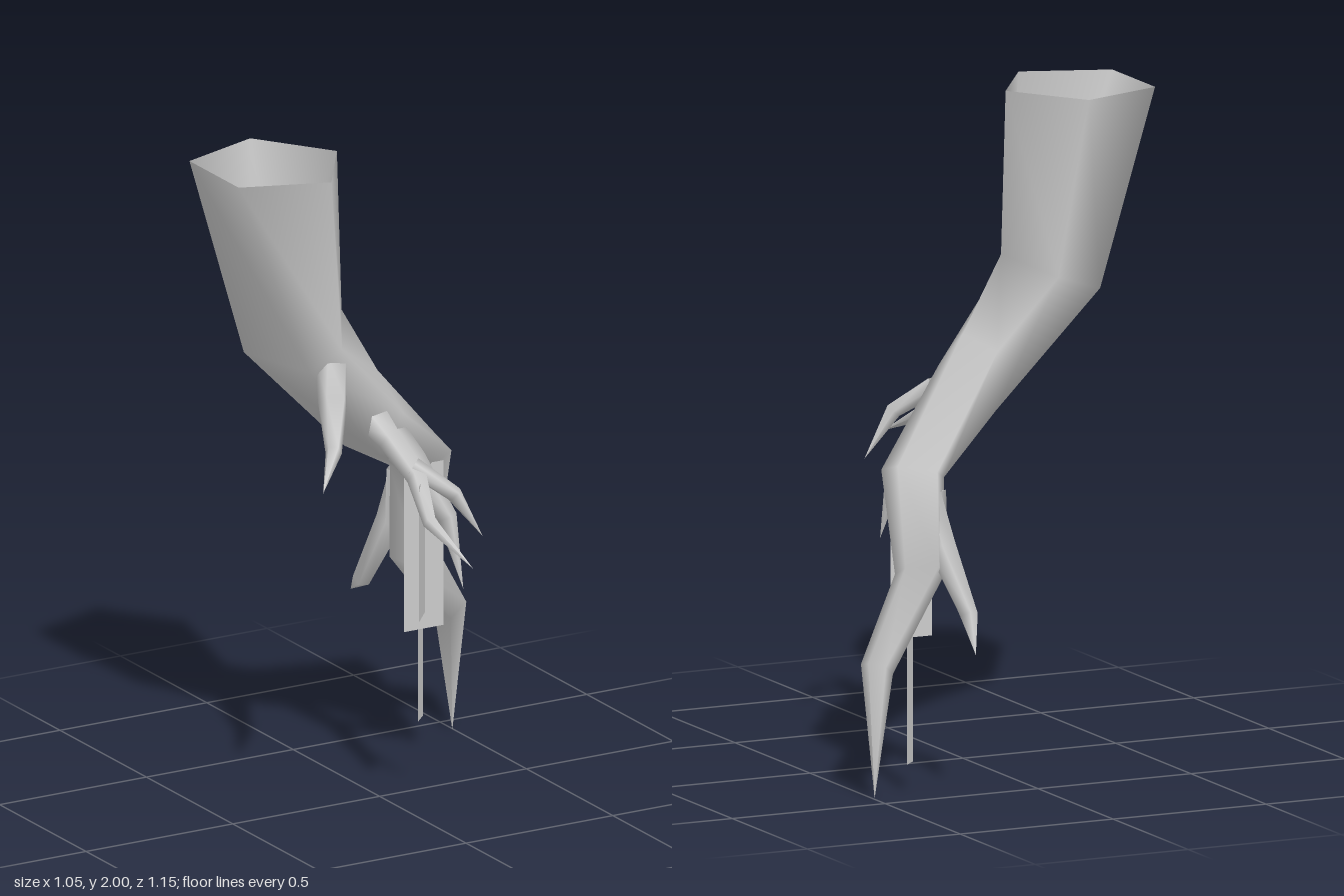
import * as THREE from 'three';

const bark = new THREE.MeshStandardMaterial({ color: 0xcccccc, side: THREE.DoubleSide });
bark.name = 'bark grey';

const SIDES = 5;

// Smooth skin over a list of five-cornered rings
function loft(name, rings) {
  const index = [];
  for (let i = 0; i < rings.length - 1; i++) {
    for (let k = 0; k < SIDES; k++) {
      const a = i * SIDES + k, b = i * SIDES + (k + 1) % SIDES;
      index.push(a, b, a + SIDES, b, b + SIDES, a + SIDES);
    }
  }
  const g = new THREE.BufferGeometry();
  g.setAttribute('position', new THREE.Float32BufferAttribute(rings.flat(2), 3));
  g.setIndex(index);
  g.computeVertexNormals();
  const mesh = new THREE.Mesh(g, bark);
  mesh.name = name;
  return mesh;
}

// Tapering root along bent points [x, y, z, radius]
function root(name, path) {
  const pts = path.map(p => new THREE.Vector3(p[0], p[1], p[2]));
  const rings = pts.map((p, i) => {
    const t = pts[Math.min(i + 1, pts.length - 1)].clone()
      .sub(pts[Math.max(i - 1, 0)]).normalize();
    const u = new THREE.Vector3(0.3, 1, 0.1).cross(t).normalize();
    const v = t.clone().cross(u);
    return Array.from({ length: SIDES }, (_, k) => {
      const a = k / SIDES * Math.PI * 2;
      return p.clone().addScaledVector(u, Math.cos(a) * path[i][3])
        .addScaledVector(v, Math.sin(a) * path[i][3]).toArray();
    });
  });
  return loft(name, rings);
}

// Flat upright strip between two plan points
function strip(name, [x0, z0], [x1, z1], bottom, top) {
  const g = new THREE.PlaneGeometry(Math.hypot(x1 - x0, z1 - z0), top - bottom);
  const mesh = new THREE.Mesh(g, bark);
  mesh.position.set((x0 + x1) / 2, (bottom + top) / 2, (z0 + z1) / 2);
  mesh.rotation.y = -Math.atan2(z1 - z0, x1 - x0);
  mesh.name = name;
  return mesh;
}

export function createModel() {
  const group = new THREE.Group();
  group.name = 'hangingRoot';

  // Main root, open at the top and pointed at the bottom
  group.add(loft('mainRoot', [
    [[-.11, 2, -.06], [-.27, 2, .18], [-.53, 2, .085], [-.53, 2, -.2], [-.27, 2, -.29]],
    [[-.10, 1.51, -.05], [-.21, 1.46, .14], [-.28, 1.38, .07], [-.38, 1.4, -.14], [-.21, 1.46, -.21]],
    [[.04, 1.29, -.08], [.07, 1.18, .02], [-.02, 1.07, .035], [-.05, 1.06, -.12], [-.02, 1.25, -.19]],
    [[.38, .97, -.34], [.38, .94, -.23], [.26, .9, -.19], [.2, .91, -.28], [.27, .95, -.38]],
    [[.37, .67, -.37], [.35, .63, -.26], [.26, .6, -.22], [.21, .62, -.3], [.27, .67, -.39]],
    [[.525, .41, -.44], [.525, .4, -.39], [.46, .365, -.37], [.44, .37, -.43], [.48, .4, -.465]],
    Array(SIDES).fill([.495, 0, -.42]),
  ]));

  // Side roots
  group.add(
    root('upperSideRoot', [[-.2, 1.41, .06, .05], [-.225, 1.29, .115, .045], [-.295, 1.185, .235, .025], [-.41, 1.115, .37, 0]]),
    root('forkedRoot', [[-.02, 1.17, .0, .05], [-.02, 1.13, .1, .038], [0, 1.05, .22, .033], [-.045, .96, .37, .022], [-.02, .875, .575, 0]]),
    root('forkedRootBranch', [[-.005, 1.08, .2, .03], [.09, 1.0, .28, .025], [.18, .86, .29, 0]]),
    root('middleRoot', [[.03, 1.13, -.04, .06], [.1, 1.02, .01, .05], [.175, .86, .09, .032], [.2, .65, .145, 0]]),
    root('lowerBackRoot', [[.25, .88, -.32, .035], [.24, .72, -.34, .045], [.19, .52, -.425, .028], [.24, .435, -.575, 0]]),
  );

  // Hanging flat strips
  group.add(
    strip('frontStrip', [-.04, .295], [.025, .22], .63, 1.05),
    strip('middleStrip', [.195, -.19], [.33, -.19], .42, .93),
    strip('lowerStrip', [.325, -.33], [.365, -.37], .08, .6),
  );
  return group;
}
